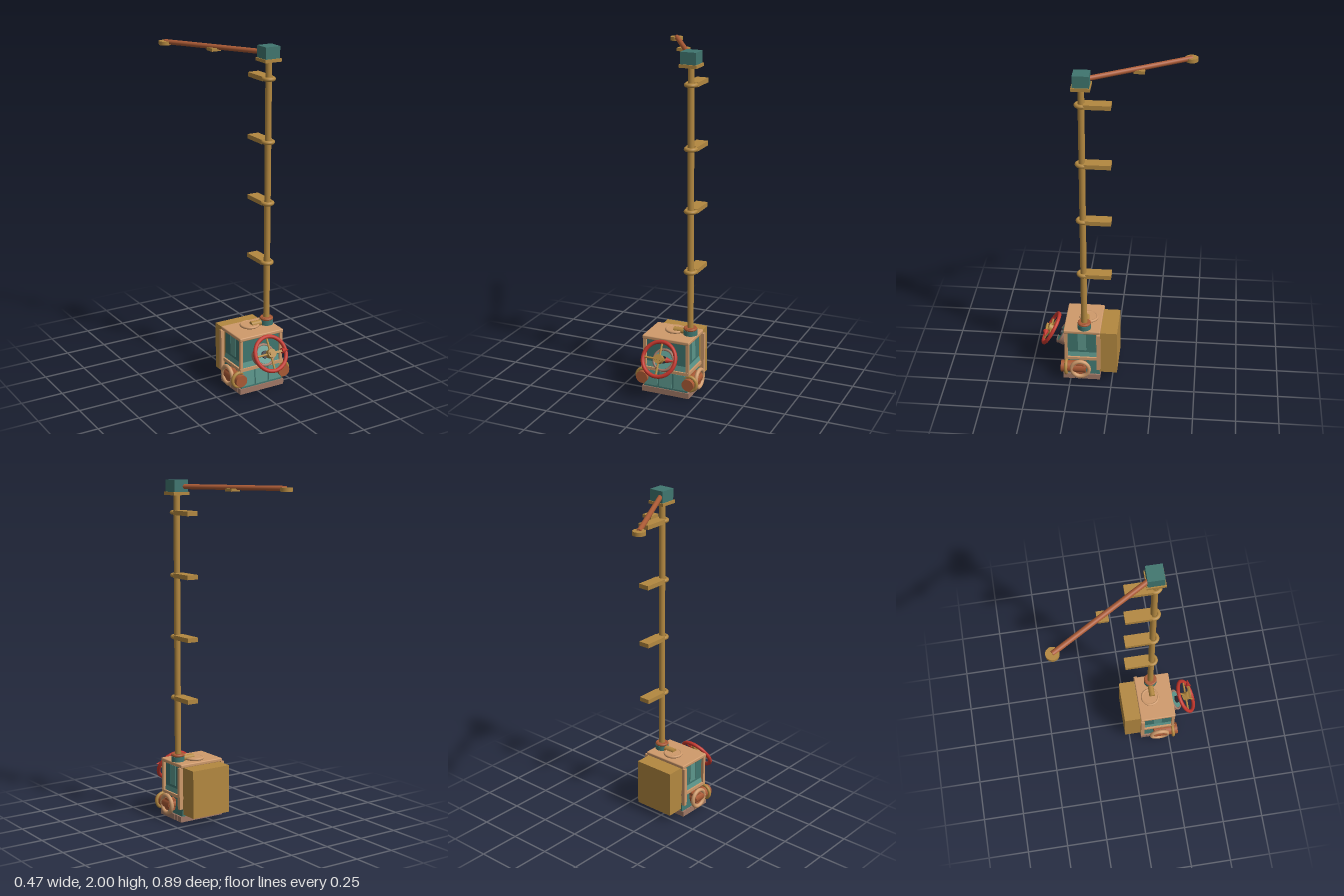
import * as THREE from 'three';
import { RoundedBoxGeometry } from 'three/addons/geometries/RoundedBoxGeometry.js';

const mat = (name, color, side = THREE.FrontSide) => {
  const m = new THREE.MeshStandardMaterial({ color, side });
  m.name = name;
  return m;
};

export function createModel() {
  const root = new THREE.Group();
  root.name = 'signalMachine';
  const teal = mat('teal', 0x40766f), paleTeal = mat('pale teal', 0x5c968b);
  const gold = mat('gold', 0xb38840), copper = mat('copper', 0xaa5a35);
  const peach = mat('peach', 0xcf9a6b), brown = mat('dusty brown', 0xa07866);
  const red = mat('red', 0xc2362c), black = mat('near black', 0x24242e);
  const CX = 0.031; // centre line of the cabin

  const add = (name, geo, material, x, y, z, parent = root) => {
    const m = new THREE.Mesh(geo, material);
    m.name = name;
    m.position.set(x, y, z);
    parent.add(m);
    return m;
  };
  const box = (name, material, w, h, d, x, y, z, parent) =>
    add(name, new THREE.BoxGeometry(w, h, d), material, x, y, z, parent);
  const cyl = (name, material, r, h, x, y, z, axis = 'y', parent = root) => {
    const g = new THREE.CylinderGeometry(r, r, h, 28);
    if (axis === 'x') g.rotateZ(Math.PI / 2);
    if (axis === 'z') g.rotateX(Math.PI / 2);
    return add(name, g, material, x, y, z, parent);
  };
  const ring = (name, material, R, r, x, y, z, axis = 'z', parent = root) => {
    const g = new THREE.TorusGeometry(R, r, 12, 40);
    if (axis === 'x') g.rotateY(Math.PI / 2);
    if (axis === 'y') g.rotateX(Math.PI / 2);
    return add(name, g, material, x, y, z, parent);
  };
  // Four-sided block whose top and bottom differ in size
  const taper = (name, material, w0, d0, w1, d1, h, x, y, z) => {
    const g = new THREE.BoxGeometry(1, h, 1), p = g.attributes.position;
    for (let i = 0; i < p.count; i++) {
      const top = p.getY(i) > 0;
      p.setX(i, p.getX(i) * (top ? w1 : w0));
      p.setZ(i, p.getZ(i) * (top ? d1 : d0));
    }
    g.computeVertexNormals();
    return add(name, g, material, x, y, z);
  };

  // Plank base
  for (let i = 0; i < 6; i++)
    box('basePlank', brown, 0.295, 0.034, 0.035, CX, 0.017, 0.09 + i * 0.0375);
  box('baseCore', brown, 0.28, 0.028, 0.21, CX, 0.018, 0.184);

  // Cabin: flared skirt, sloped ledge and upper body
  taper('skirt', teal, 0.275, 0.215, 0.245, 0.2, 0.11, CX, 0.088, 0.182);
  for (const x of [-0.09, 0, 0.09])
    box('skirtPanel', paleTeal, 0.08, 0.09, 0.006, CX + x, 0.09, 0.285).rotation.x = -0.07;
  box('midTrim', peach, 0.287, 0.018, 0.214, CX, 0.147, 0.181);
  taper('ledge', paleTeal, 0.265, 0.195, 0.245, 0.18, 0.045, CX, 0.178, 0.181);
  box('upperBody', teal, 0.252, 0.17, 0.184, CX, 0.25, 0.181);
  for (const s of [-1, 1]) {
    for (let i = 0; i < 3; i++)
      box('sidePanel', i === 1 ? paleTeal : teal, 0.007, 0.12, 0.05,
        CX + s * 0.128, 0.262, 0.126 + i * 0.055);
    box('frontPost', peach, 0.018, 0.19, 0.018, CX + s * 0.134, 0.245, 0.277);
    box('rearPost', peach, 0.022, 0.25, 0.022, CX + s * 0.147, 0.205, 0.081);
  }
  add('lid', new RoundedBoxGeometry(0.293, 0.022, 0.22, 2, 0.006), peach, CX, 0.339, 0.18);

  // Hatch with its spout
  cyl('hatch', peach, 0.047, 0.016, CX, 0.355, 0.15);
  ring('hatchRing', peach, 0.05, 0.008, CX, 0.357, 0.15, 'y');
  cyl('hatchSpout', gold, 0.018, 0.08, 0.072, 0.362, 0.164, 'x');

  // Rear crate
  box('rearCrate', gold, 0.255, 0.285, 0.115, 0.0325, 0.188, 0.028);

  // Lamps on the front corners and round ports on the sides
  for (const s of [-1, 1]) {
    const x = CX + s * 0.145;
    cyl('lamp', copper, 0.036, 0.15, x, 0.09, 0.232, 'z');
    ring('lampRing', gold, 0.043, 0.01, x, 0.09, 0.276);
    cyl('portDrum', copper, 0.036, 0.06, CX + s * 0.143, 0.09, 0.189, 'x');
    ring('portRing', peach, 0.053, 0.012, CX + s * 0.171, 0.09, 0.189, 'x');
  }

  // Tilted gauge behind the wheel
  const gauge = new THREE.Group();
  gauge.name = 'gauge';
  gauge.position.set(CX, 0.22, 0.3);
  gauge.rotation.x = -Math.PI / 6;
  root.add(gauge);
  cyl('gaugeCase', brown, 0.064, 0.04, 0, 0, 0, 'z', gauge);
  ring('gaugeRim', brown, 0.06, 0.008, 0, 0, 0.018, 'z', gauge);
  cyl('gaugeFace', paleTeal, 0.053, 0.006, 0, 0, 0.02, 'z', gauge);
  cyl('gaugeBoss', black, 0.022, 0.016, 0, 0, 0.026, 'z', gauge);

  // Hand wheel with spokes, hub and pointer
  const wheel = new THREE.Group();
  wheel.name = 'handWheel';
  wheel.position.set(CX + 0.002, 0.262, 0.382);
  wheel.rotation.x = -Math.PI / 6;
  root.add(wheel);
  ring('wheelRim', red, 0.1, 0.0115, 0, 0, 0, 'z', wheel);
  cyl('spokeAcross', gold, 0.006, 0.2, 0, 0, 0, 'x', wheel);
  cyl('spokeUpright', gold, 0.006, 0.2, 0, 0, 0, 'y', wheel);
  cyl('wheelHub', gold, 0.026, 0.034, 0, 0, 0.004, 'z', wheel);
  box('pointerRod', gold, 0.08, 0.014, 0.012, 0.02, 0, 0.03, wheel);
  const tip = add('pointerTip', new THREE.ConeGeometry(0.017, 0.048, 20), red, 0.082, 0, 0.03, wheel);
  tip.rotation.z = -Math.PI / 2;

  // Mast with its socket and steps
  const PX = 0.136, PZ = 0.168;
  cyl('mastSocket', teal, 0.04, 0.045, PX, 0.357, PZ);
  cyl('mastCollar', copper, 0.034, 0.03, PX, 0.38, PZ);
  ring('mastCollarRing', copper, 0.031, 0.009, PX, 0.386, PZ, 'y');
  cyl('mast', gold, 0.0185, 1.58, PX, 1.14, PZ);
  for (let i = 0; i < 4; i++) {
    const y = 0.735 + i * 0.36;
    ring('stepClamp', gold, 0.028, 0.012, PX, y, PZ, 'y');
    box('step', gold, 0.07, 0.026, 0.15, PX, y, 0.08);
  }
  box('headPlate', gold, 0.105, 0.018, 0.105, PX, 1.923, 0.166);
  box('headBox', teal, 0.092, 0.07, 0.092, PX, 1.965, 0.165);

  // Slanted arm with its weights
  const a = new THREE.Vector3(0.125, 1.962, 0.145), b = new THREE.Vector3(-0.203, 1.962, -0.412);
  const arm = cyl('arm', copper, 0.0145, a.distanceTo(b), 0, 0, 0);
  arm.position.copy(a).lerp(b, 0.5);
  arm.quaternion.setFromUnitVectors(new THREE.Vector3(0, 1, 0), b.clone().sub(a).normalize());
  box('armBlock', gold, 0.06, 0.018, 0.06, -0.04, 1.949, -0.134);
  cyl('armEndDisc', gold, 0.036, 0.022, -0.204, 1.956, -0.411);

  return root;
}
